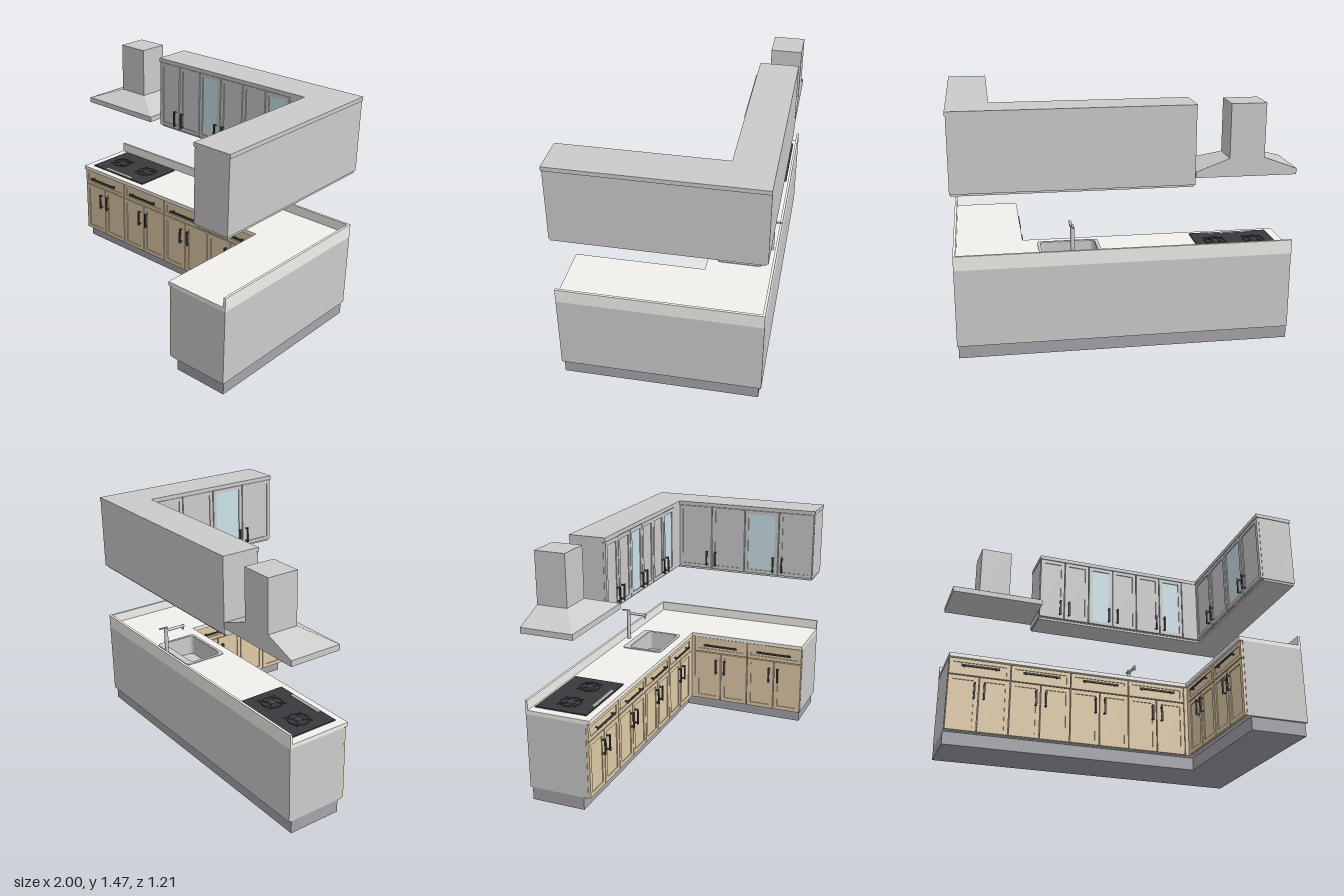
import * as THREE from 'three';

const mat = (color) => new THREE.MeshStandardMaterial({ color });
const GREY = mat(0xcccccc), WOOD = mat(0xe0cba8), STONE = mat(0xf2f0ec), PLINTH = mat(0xa4a4aa);
const DARK = mat(0x444444), BLACK = mat(0x3a3a3e), GLASS = mat(0xcbe2e8);
const BACK = -0.597, SIDE = 0.99, END = 0.602;

function add(parent, name, geometry, material, x = 0, y = 0, z = 0) {
  const mesh = new THREE.Mesh(geometry, material);
  mesh.name = name;
  mesh.position.set(x, y, z);
  parent.add(mesh);
  return mesh;
}

// Box given by its minimum and maximum corners
function block(parent, name, material, [x0, y0, z0], [x1, y1, z1]) {
  return add(parent, name, new THREE.BoxGeometry(x1 - x0, y1 - y0, z1 - z0), material,
    (x0 + x1) / 2, (y0 + y1) / 2, (z0 + z1) / 2);
}

function rectPath(x0, y0, x1, y1, r = 0, Type = THREE.Path) {
  const p = new Type();
  if (!r) return p.setFromPoints([[x0, y0], [x1, y0], [x1, y1], [x0, y1], [x0, y0]].map((a) => new THREE.Vector2(...a)));
  p.absarc(x1 - r, y0 + r, r, -Math.PI / 2, 0);
  p.absarc(x1 - r, y1 - r, r, 0, Math.PI / 2);
  p.absarc(x0 + r, y1 - r, r, Math.PI / 2, Math.PI);
  p.absarc(x0 + r, y0 + r, r, Math.PI, Math.PI * 1.5);
  p.closePath();
  return p;
}

// Horizontal slab between two heights; outlines use (x, -z)
function slab(parent, name, material, shape, y0, y1, hole) {
  if (hole) shape.holes.push(hole);
  const g = new THREE.ExtrudeGeometry(shape, { depth: y1 - y0, bevelEnabled: false, curveSegments: 6 });
  return add(parent, name, g.rotateX(-Math.PI / 2), material, 0, y0, 0);
}

// L-shaped plan: a back run and a right-hand run
function lShape(left, innerX, innerZ, right = SIDE, back = BACK, end = END) {
  const pts = [[left, back], [left, innerZ], [innerX, innerZ], [innerX, end], [right, end], [right, back]];
  return new THREE.Shape(pts.map(([x, z]) => new THREE.Vector2(x, -z)));
}

// Framed front with a recessed panel, facing +z with its face at z = 0
function front(parent, name, material, x0, y0, x1, y1, border, panel = material) {
  const g = 0.003, t = 0.015;
  const shape = rectPath(x0 + g, y0 + g, x1 - g, y1 - g, 0, THREE.Shape);
  shape.holes.push(rectPath(x0 + border, y0 + border, x1 - border, y1 - border));
  add(parent, name + 'Frame', new THREE.ExtrudeGeometry(shape, { depth: t, bevelEnabled: false }), material, 0, 0, -t);
  block(parent, name + 'Panel', panel, [x0 + border, y0 + border, -t], [x1 - border, y1 - border, -0.006]);
}

// Bar handle on two short posts
function handle(parent, x, y, length, vertical) {
  const h = new THREE.Group();
  h.name = 'handle';
  add(h, 'handleBar', new THREE.BoxGeometry(length, 0.011, 0.008), DARK, 0, 0, 0.02);
  for (const s of [-1, 1]) add(h, 'handlePost', new THREE.BoxGeometry(0.008, 0.008, 0.018), DARK, s * length * 0.42, 0, 0.008);
  h.position.set(x, y, 0);
  if (vertical) h.rotation.z = Math.PI / 2;
  parent.add(h);
}

function baseUnit(parent, x0, x1) {
  const mid = (x0 + x1) / 2;
  front(parent, 'drawer', WOOD, x0, 0.438, x1, 0.548, 0.026);
  handle(parent, mid, 0.495, 0.24, false);
  front(parent, 'leftDoor', WOOD, x0, 0.08, mid, 0.438, 0.03);
  front(parent, 'rightDoor', WOOD, mid, 0.08, x1, 0.438, 0.03);
  for (const s of [-1, 1]) handle(parent, mid + s * 0.031, 0.34, 0.105, true);
}

function wallUnit(parent, x0, x1, glassDoor = -1) {
  const mid = (x0 + x1) / 2;
  [[x0, mid], [mid, x1]].forEach(([a, b], i) =>
    front(parent, 'wallDoor', GREY, a, 1.0, b, 1.44, 0.027, i === glassDoor ? GLASS : GREY));
  for (const s of [-1, 1]) handle(parent, mid + s * 0.031, 1.078, 0.105, true);
}

// Group for fronts; the right-hand run turns to face -x
function run(parent, name, offset, sideways) {
  const g = new THREE.Group();
  g.name = name;
  if (sideways) { g.rotation.y = -Math.PI / 2; g.position.x = offset; } else g.position.z = offset;
  parent.add(g);
  return g;
}

function buildBase(root) {
  const bowl = () => rectPath(0.14, 0.262, 0.475, 0.48, 0.03);
  slab(root, 'plinth', PLINTH, lShape(-0.998, 0.632, -0.245, 0.982, -0.582, 0.587), 0, 0.08);
  slab(root, 'lowerCarcass', GREY, lShape(-0.998, 0.6, -0.215), 0.08, 0.44);
  slab(root, 'upperCarcass', GREY, lShape(-0.998, 0.6, -0.215), 0.44, 0.55, bowl());
  slab(root, 'countertop', STONE, lShape(-1, 0.575, -0.19), 0.55, 0.575, bowl());
  block(root, 'backSplash', STONE, [-1, 0.575, BACK], [SIDE, 0.635, BACK + 0.015]);
  block(root, 'sideSplash', STONE, [SIDE - 0.015, 0.575, BACK + 0.015], [SIDE, 0.635, END]);

  const rear = run(root, 'backRunFronts', -0.2, false);
  for (let i = 0; i < 4; i++) baseUnit(rear, -0.998 + i * 0.39, -0.608 + i * 0.39);
  block(rear, 'cornerFiller', WOOD, [0.564, 0.08, -0.015], [0.6, 0.548, -0.002]);
  const side = run(root, 'rightRunFronts', 0.585, true);
  block(side, 'cornerFiller', WOOD, [-0.2, 0.08, -0.015], [-0.176, 0.548, -0.002]);
  for (let i = 0; i < 2; i++) baseUnit(side, -0.176 + i * 0.389, 0.213 + i * 0.389);

  // Sink: raised rim, lining and drain
  slab(root, 'sinkRim', GREY, rectPath(0.12, 0.245, 0.49, 0.52, 0.025, THREE.Shape), 0.575, 0.58, bowl());
  slab(root, 'sinkLining', GREY, rectPath(0.14, 0.262, 0.475, 0.48, 0.03, THREE.Shape), 0.45, 0.578,
    rectPath(0.143, 0.265, 0.472, 0.477, 0.027));
  slab(root, 'sinkFloor', GREY, rectPath(0.14, 0.262, 0.475, 0.48, 0.03, THREE.Shape), 0.445, 0.452);
  add(root, 'sinkDrain', new THREE.CylinderGeometry(0.02, 0.02, 0.004, 20), DARK, 0.307, 0.453, -0.37);
}

function buildTap(root) {
  const tap = new THREE.Group();
  tap.name = 'tap';
  tap.position.set(0.306, 0, -0.557);
  add(tap, 'tapColumn', new THREE.CylinderGeometry(0.012, 0.012, 0.2, 20), GREY, 0, 0.675, 0);
  add(tap, 'tapSpout', new THREE.CylinderGeometry(0.009, 0.009, 0.13, 16).rotateX(Math.PI / 2), GREY, 0, 0.757, 0.065);
  add(tap, 'tapNozzle', new THREE.CylinderGeometry(0.007, 0.007, 0.033, 16), GREY, 0, 0.75, 0.123);
  block(tap, 'tapLever', GREY, [-0.006, 0.775, -0.048], [0.006, 0.781, 0.01]);
  root.add(tap);
}

function buildCooktop(root) {
  const top = new THREE.Group();
  top.name = 'cooktop';
  top.position.set(-0.702, 0.575, -0.4);
  block(top, 'cooktopPlate', BLACK, [-0.243, 0, -0.165], [0.243, 0.007, 0.165]);
  block(top, 'controlStrip', PLINTH, [-0.125, 0.007, 0.138], [0.125, 0.009, 0.16]);
  for (const s of [-1, 1]) {
    const x = s * 0.12;
    add(top, 'burnerRing', new THREE.TorusGeometry(0.062, 0.004, 6, 32).rotateX(Math.PI / 2), DARK, x, 0.009, 0);
    add(top, 'burnerCap', new THREE.CylinderGeometry(0.024, 0.028, 0.007, 24), DARK, x, 0.0105, 0);
    for (let i = 0; i < 4; i++) {
      const a = (i + 0.5) * Math.PI / 2;
      const arm = add(top, 'panSupport', new THREE.BoxGeometry(0.055, 0.005, 0.006), DARK,
        x + 0.055 * Math.cos(a), 0.011, -0.055 * Math.sin(a));
      arm.rotation.y = a;
    }
  }
  root.add(top);
}

function buildWallCabinets(root) {
  slab(root, 'wallLightRail', GREY, lShape(-0.398, 0.775, -0.38, 0.985, -0.583, 0.597), 0.986, 1.0);
  slab(root, 'wallCarcass', GREY, lShape(-0.402, 0.77, -0.375), 1.0, 1.44);
  slab(root, 'wallCornice', GREY, lShape(-0.405, 0.753, -0.358, 0.995, BACK, 0.606), 1.44, 1.465);
  const rear = run(root, 'backWallFronts', -0.36, false);
  wallUnit(rear, -0.402, -0.055);
  wallUnit(rear, -0.055, 0.295, 0);
  wallUnit(rear, 0.295, 0.645, 1);
  block(rear, 'wallFiller', GREY, [0.648, 1.0, -0.015], [0.77, 1.44, -0.002]);
  const side = run(root, 'rightWallFronts', 0.755, true);
  wallUnit(side, -0.36, 0.12);
  wallUnit(side, 0.12, 0.602, 0);
}

function buildHood(root) {
  const hood = new THREE.Group();
  hood.name = 'rangeHood';
  block(hood, 'hoodRim', GREY, [-1, 1.04, BACK], [-0.405, 1.075, -0.27]);
  // Sloping canopy: a box whose top corners move in to the chimney
  const g = new THREE.BoxGeometry(1, 1, 1).toNonIndexed(), p = g.attributes.position;
  for (let i = 0; i < p.count; i++) {
    const up = p.getY(i) > 0, right = p.getX(i) > 0, fore = p.getZ(i) > 0;
    p.setXYZ(i, up ? (right ? -0.6 : -0.805) : (right ? -0.405 : -1), up ? 1.148 : 1.075,
      fore ? (up ? -0.405 : -0.27) : BACK);
  }
  g.computeVertexNormals();
  add(hood, 'hoodCanopy', g, GREY);
  block(hood, 'hoodChimney', GREY, [-0.805, 1.148, BACK], [-0.6, 1.465, -0.405]);
  root.add(hood);
}

export function createModel() {
  const root = new THREE.Group();
  root.name = 'cornerKitchen';
  for (const build of [buildBase, buildTap, buildCooktop, buildWallCabinets, buildHood]) build(root);
  return root;
}
